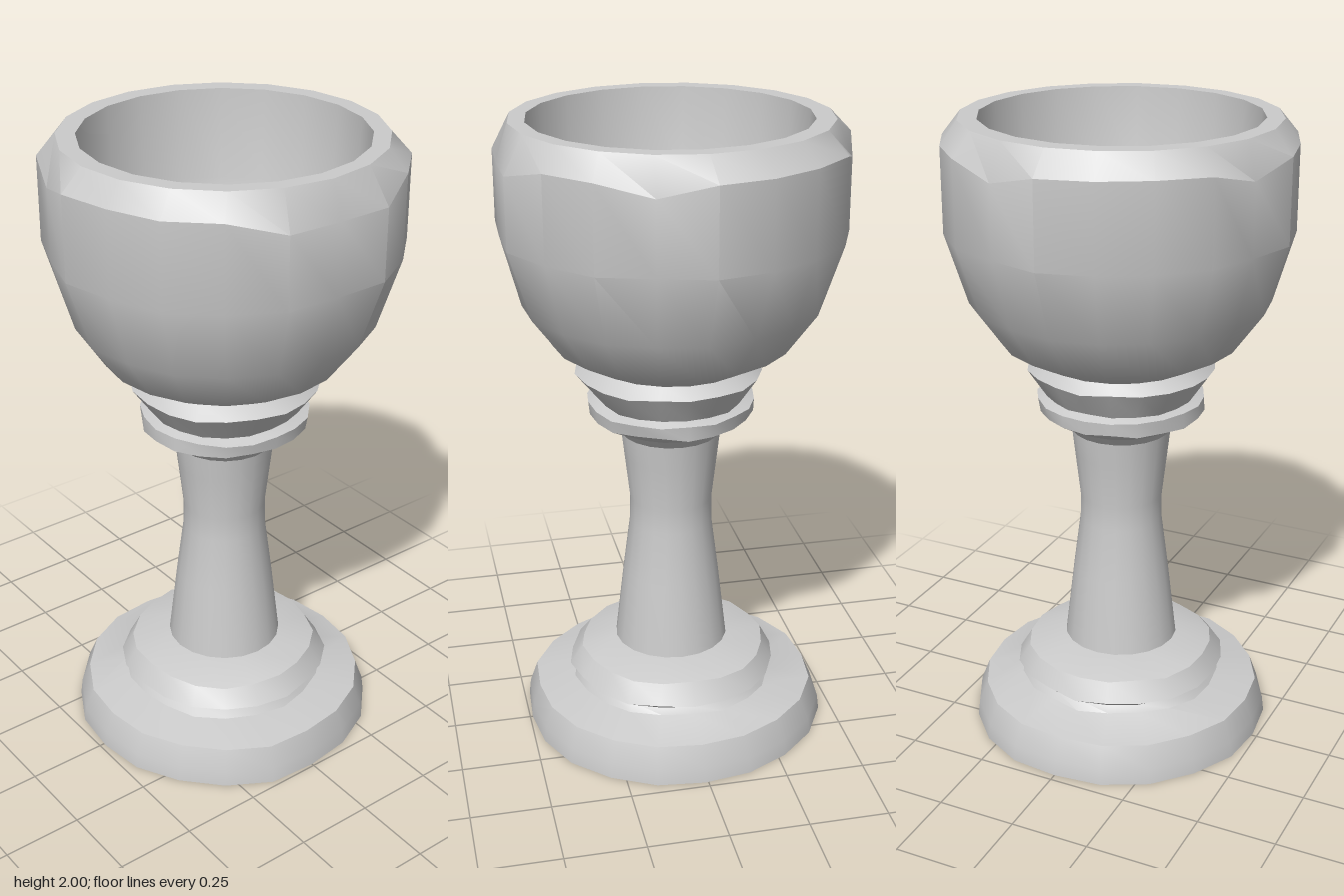
import * as THREE from 'three';
import { toCreasedNormals } from 'three/addons/utils/BufferGeometryUtils.js';

const SEG = 20;
const material = new THREE.MeshStandardMaterial({ color: 0xcccccc });

// repeatable noise in -1..1 for a hand-hewn look
function noise(i, j) {
  const s = Math.sin(i * 12.99 + j * 78.23) * 43758.55;
  return 2 * (s - Math.floor(s)) - 1;
}

// Turned part from rings [radius, y, centreX]; warp(i, j) gives a radius factor and a lift
function turned(name, rings, warp) {
  const geo = new THREE.LatheGeometry(rings.map(([r, y]) => new THREE.Vector2(r, y)), SEG);
  const pos = geo.attributes.position;
  const n = rings.length;
  for (let k = 0; k < pos.count; k++) {
    const i = Math.floor(k / n) % SEG;
    const j = k % n;
    const [r, y, cx] = rings[j];
    const [scale, lift] = warp(i, j);
    const a = (i / SEG) * Math.PI * 2;
    pos.setXYZ(k, cx + r * scale * Math.sin(a), y + lift, r * scale * Math.cos(a));
  }
  geo.deleteAttribute('normal');
  geo.deleteAttribute('uv');
  const mesh = new THREE.Mesh(toCreasedNormals(geo, THREE.MathUtils.degToRad(32)), material);
  mesh.name = name;
  return mesh;
}

// outer radius of the cup at each segment, starting at the front and going to +x
const CUP_RADII = [
  0.54, 0.53, 0.545, 0.54, 0.55, 0.53, 0.555, 0.545, 0.55, 0.52,
  0.54, 0.53, 0.525, 0.53, 0.515, 0.535, 0.52, 0.515, 0.53, 0.515,
];
// segments where the rim chamfer is chipped lower
const CHIPS = [4, 5, 6, 9, 14, 19];

export function createModel() {
  const group = new THREE.Group();
  group.name = 'goblet';

  // Foot: plinth, groove and rounded step
  group.add(turned('foot', [
    [0, 0, 0.01], [0.488, 0, 0.01], [0.482, 0.05, 0.01], [0.455, 0.12, 0.013],
    [0.325, 0.145, 0.014], [0.305, 0.17, 0.015], [0.338, 0.19, 0.015],
    [0.3, 0.25, 0.012], [0.19, 0.28, 0.015], [0, 0.28, 0.015],
  ], (i, j) => [
    1 + 0.018 * noise(i, j < 4 ? 1 : 5),
    j > 3 && j < 8 ? 0.006 * noise(i, j) : 0,
  ]));

  // Stem: waisted column flaring at the top
  group.add(turned('stem', [
    [0.185, 0.26, 0.018], [0.155, 0.52, 0.018], [0.132, 0.7, 0.018], [0.131, 0.78, 0.018],
    [0.148, 0.93, 0.018], [0.157, 1.01, 0.018], [0.19, 1.05, 0.018],
  ], () => [1, 0]));

  // Collar: two bands under the bowl
  group.add(turned('collar', [
    [0, 1.04, 0.018], [0.19, 1.043, 0.018], [0.258, 1.08, 0.018], [0.264, 1.122, 0.018],
    [0.232, 1.132, 0.018], [0.292, 1.22, 0.022], [0.25, 1.255, 0.018], [0, 1.255, 0.018],
  ], (i, j) => [1 + 0.018 * noise(i, j), j > 1 && j < 6 ? 0.004 * noise(i, j + 9) : 0]));

  // Cup: outer bowl, chamfered rim, hollow and flat floor
  group.add(turned('cup', [
    [0, 1.245, 0.015], [0.25, 1.25, 0.015], [0.37, 1.315, 0.012], [0.468, 1.45, 0.008],
    [0.54, 1.67, 0], [0.54, 1.93, 0], [0.48, 2, 0.013],
    [0.425, 2, 0.018], [0.412, 1.72, 0.018], [0.36, 1.5, 0.015], [0.27, 1.37, 0.015], [0, 1.37, 0.015],
  ], (i, j) => {
    if (j === 4 || j === 5) return [CUP_RADII[i] / 0.54, j === 5 && CHIPS.includes(i) ? -0.04 : 0];
    return [j === 3 ? (1 + CUP_RADII[i] / 0.54) / 2 : 1, 0];
  }));

  return group;
}
